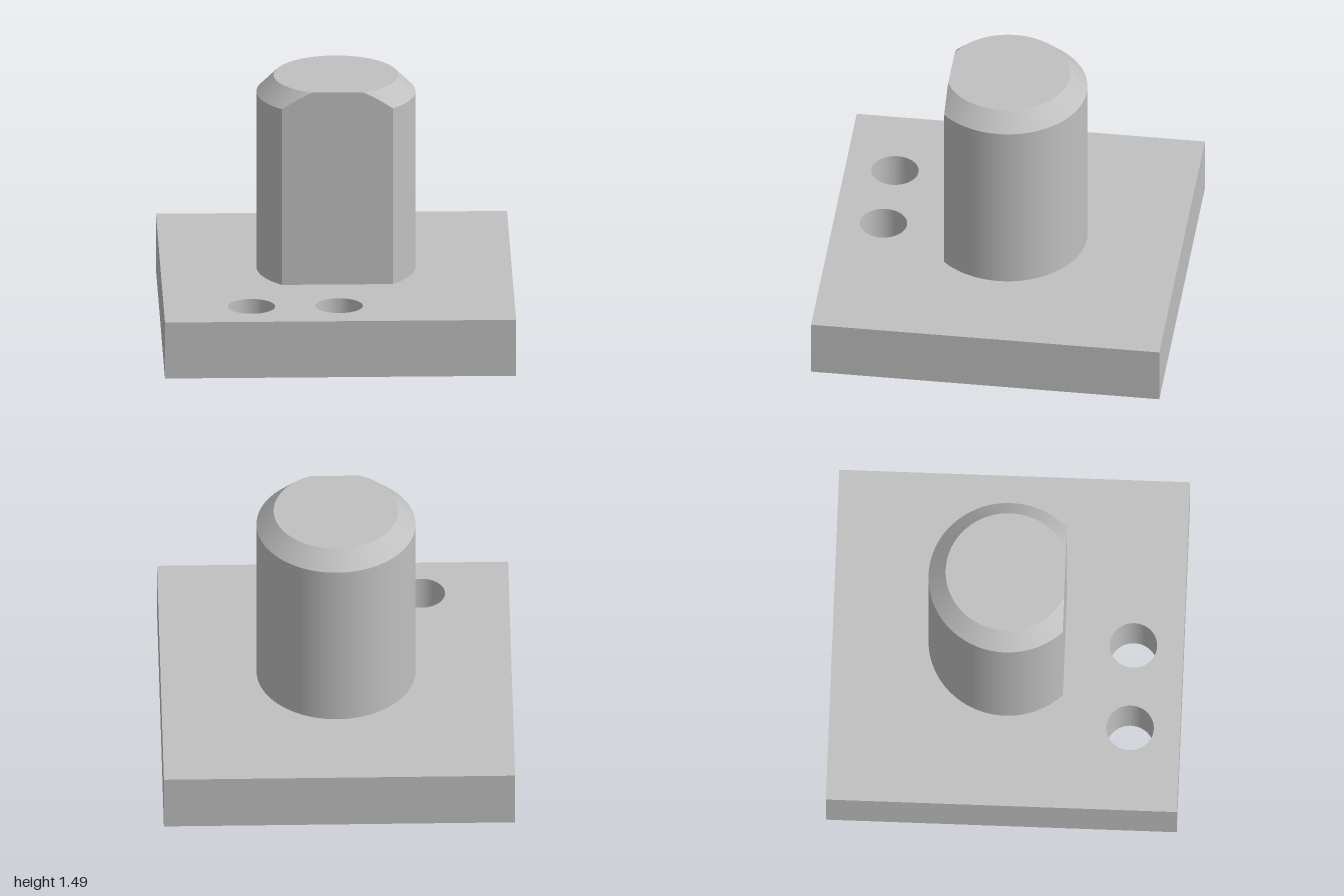
import * as THREE from 'three';
import { toCreasedNormals } from 'three/addons/utils/BufferGeometryUtils.js';
import { ParametricGeometry } from 'three/addons/geometries/ParametricGeometry.js';

const PLATE_TOP = 0.335, SHOULDER = 1.387, TOP = 1.485;
const R = 0.453, R_TOP = 0.355, FLAT_Z = 0.325;

export function createModel() {
  const group = new THREE.Group();
  const grey = new THREE.MeshStandardMaterial({ color: 0xc0c0c0 });
  grey.name = 'light grey';

  const add = (name, geometry, parent) => {
    const mesh = new THREE.Mesh(geometry, grey);
    mesh.name = name;
    parent.add(mesh);
    return mesh;
  };

  // Square base plate with two through holes near the front edge
  const outline = new THREE.Shape([[-1, -1], [1, -1], [1, 1], [-1, 1]].map(p => new THREE.Vector2(...p)));
  for (const x of [-0.5, 0]) {
    outline.holes.push(new THREE.Path().absarc(x, -0.715, 0.135, 0, Math.PI * 2, true));
  }
  const plate = new THREE.ExtrudeGeometry(outline, { depth: PLATE_TOP, bevelEnabled: false, curveSegments: 48 });
  plate.rotateX(-Math.PI / 2);
  add('basePlate', toCreasedNormals(plate, 0.5), group);

  // Round post cut by a flat at the front, with a chamfered top
  const post = new THREE.Group();
  post.name = 'post';
  group.add(post);

  // Arc band around the post that starts and ends on the flat
  const band = (r0, y0, r1, y1, rows) => new ParametricGeometry((u, v, target) => {
    const r = r0 + (r1 - r0) * v;
    const start = Math.acos(FLAT_Z / r);
    const t = start + u * 2 * (Math.PI - start);
    target.set(r * Math.sin(t), y0 + (y1 - y0) * v, r * Math.cos(t));
  }, 96, rows);
  add('postWall', band(R, PLATE_TOP, R, SHOULDER, 1), post);
  add('postChamfer', band(R, SHOULDER, R_TOP, TOP, 12), post);

  // Flat front face, whose upper corners follow the chamfer curve
  const right = [], left = [];
  for (let i = 0; i <= 12; i++) {
    const r = R + (R_TOP - R) * i / 12;
    const x = Math.sqrt(r * r - FLAT_Z * FLAT_Z);
    const y = SHOULDER + (TOP - SHOULDER) * i / 12;
    right.push(new THREE.Vector2(x, y));
    left.unshift(new THREE.Vector2(-x, y));
  }
  const half = right[0].x;
  const face = new THREE.Shape([
    new THREE.Vector2(-half, PLATE_TOP), new THREE.Vector2(half, PLATE_TOP), ...right, ...left,
  ]);
  add('postFlat', new THREE.ShapeGeometry(face), post).position.z = FLAT_Z;

  // Top cap, cut by the same flat
  const a = Math.acos(FLAT_Z / R_TOP);
  const cap = new THREE.Shape().absarc(0, 0, R_TOP, -Math.PI / 2 + a, Math.PI * 1.5 - a, false);
  const capGeometry = new THREE.ShapeGeometry(cap, 96);
  capGeometry.rotateX(-Math.PI / 2);
  add('postTop', capGeometry, post).position.y = TOP;

  return group;
}
